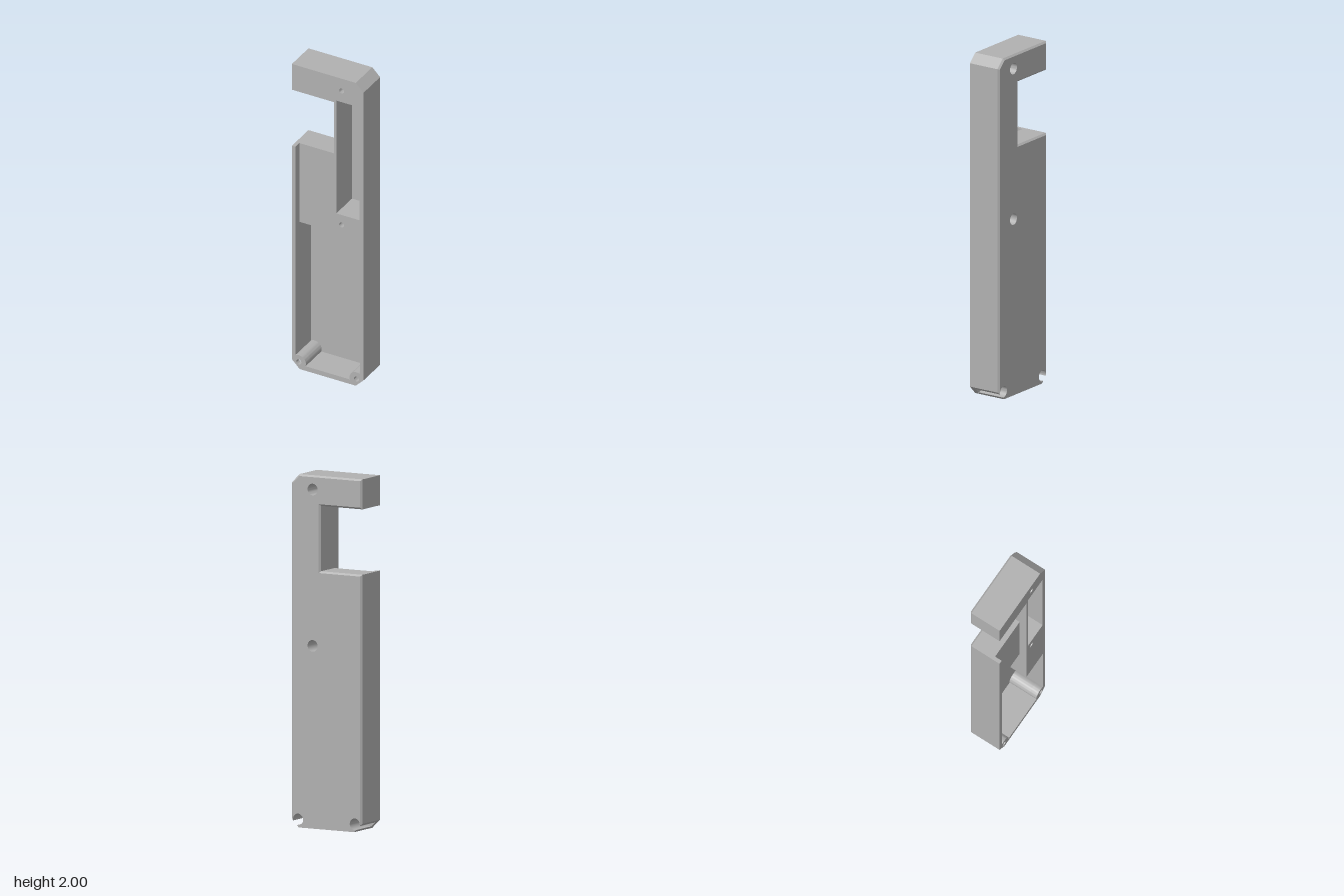
import * as THREE from 'three';
import { mergeGeometries, toCreasedNormals } from 'three/addons/utils/BufferGeometryUtils.js';

// Depth levels along z
const BACK = -0.1, BEVEL = -0.09, FLOOR = -0.08, SHELF = 0.055, SEAT = 0.07, FRONT = 0.1;
const BORE = 0.033, HOLE = 0.016, BOSS = 0.045;
const CORNER_SCREWS = [[0.185, 0.045, -Math.PI / 4], [-0.185, 0.045, -Math.PI * 3 / 4]];
const UPPER_SCREWS = [[0.09, 1.92], [0.09, 1.035]];
const HALF = Math.acos(0.02828 / BORE); // half angle where a corner bore breaks the chamfer

// Points on an arc; direction follows a0 to a1
function arc(x, y, r, a0, a1, n = 20) {
  return Array.from({ length: n + 1 }, (_, i) => {
    const a = a0 + (a1 - a0) * i / n;
    return [x + r * Math.cos(a), y + r * Math.sin(a)];
  });
}
const circle = (x, y, r) => arc(x, y, r, 0, -Math.PI * 2, 28);
const boreArc = ([x, y, a]) => arc(x, y, BORE, a - HALF, a + HALF - Math.PI * 2, 24);

// Side wall along a closed path with the solid on its left; a path point may
// carry a second x, y used at the back end when inset is true
function wall(path, z0, z1, inset = false) {
  const pos = [];
  path.forEach((a, i) => {
    const b = path[(i + 1) % path.length];
    if (Math.hypot(a[0] - b[0], a[1] - b[1]) < 1e-6) return;
    const low = (p) => (inset && p.length > 2 ? [p[2], p[3], z0] : [p[0], p[1], z0]);
    const A = low(a), B = low(b), C = [b[0], b[1], z1], D = [a[0], a[1], z1];
    pos.push(...A, ...B, ...C, ...A, ...C, ...D);
  });
  const g = new THREE.BufferGeometry();
  g.setAttribute('position', new THREE.Float32BufferAttribute(pos, 3));
  return g;
}

// Flat face at depth z, facing the front or the back
function cap(path, holes, z, facingBack = false) {
  const v = (pts) => pts.map((p) => new THREE.Vector2(p[0], p[1]));
  const shape = new THREE.Shape(v(path));
  holes.forEach((h) => shape.holes.push(new THREE.Path(v(h))));
  let g = new THREE.ShapeGeometry(shape);
  if (facingBack) {
    const idx = g.index.array;
    for (let i = 0; i < idx.length; i += 3) [idx[i], idx[i + 1]] = [idx[i + 1], idx[i]];
  }
  g = g.toNonIndexed();
  g.deleteAttribute('uv');
  g.deleteAttribute('normal');
  g.translate(0, 0, z);
  return g;
}

// Lower pocket edge: right wall, around both screw bosses, up the left wall
function pocketEdge() {
  const up = Math.atan2(0.0387, 0.023), low = Math.atan2(0.015, 0.0424);
  return [
    [0.04, 0.625], [0.208, 0.625],
    ...arc(0.185, 0.045, BOSS, up, Math.PI + low, 14),
    ...arc(-0.185, 0.045, BOSS, -low, Math.PI - up, 14),
  ];
}

// Hook-shaped outline, counterclockwise from the bottom
function outline(cutBores, openPocket) {
  const corner = (s) => {
    const a = boreArc(s);
    return cutBores ? a : [a[0], a[a.length - 1]];
  };
  return [
    [-0.18, 0], [0.18, 0],
    ...corner(CORNER_SCREWS[0]),
    [0.23, 0.05, 0.22, 0.04], [0.23, 1.95, 0.22, 1.946],
    [0.18, 2, 0.176, 1.99], [-0.23, 2, -0.22, 1.99],
    [-0.23, 1.83, -0.22, 1.84], [0.04, 1.83, 0.05, 1.84],
    [0.04, 1.46, 0.05, 1.45],
    ...(openPocket ? pocketEdge() : []),
    [-0.208, 1.46, -0.208, 1.45], [-0.23, 1.46, -0.22, 1.45],
    [-0.23, 0.05, -0.22, 0.04],
    ...corner(CORNER_SCREWS[1]),
  ];
}

export function createModel() {
  const group = new THREE.Group();
  const grey = new THREE.MeshStandardMaterial({ color: 0xb0b0b0 });
  grey.name = 'plain grey';
  const add = (name, parts) => {
    const mesh = new THREE.Mesh(toCreasedNormals(mergeGeometries(parts), 0.5), grey);
    mesh.name = name;
    group.add(mesh);
  };

  const screws = [...CORNER_SCREWS, ...UPPER_SCREWS];
  const smallHoles = screws.map(([x, y]) => circle(x, y, HOLE));
  const bigBores = UPPER_SCREWS.map(([x, y]) => circle(x, y, BORE));
  const slot = [[0.055, 1.1], [0.055, 1.845], [0.205, 1.845], [0.205, 1.1]];
  const pocket = [[0.04, 0.94], ...pocketEdge(), [-0.208, 0.94]];

  // Outer sides, with a bevel around the back edge
  const closed = outline(true, false);
  add('housingWalls', [
    wall(closed, BACK, BEVEL, true),
    wall(closed, BEVEL, SHELF),
    wall(outline(true, true), SHELF, SEAT),
    wall(outline(false, true), SEAT, FRONT),
  ]);

  // Front rim and block, and the back plate
  add('frontRim', [cap(outline(false, true), [slot, ...smallHoles], FRONT)]);
  const backPath = closed.map((p) => (p.length > 2 ? [p[2], p[3]] : p));
  add('backPlate', [cap(backPath, bigBores, BACK, true)]);

  // Deep pocket with the shallow shelf above it
  add('mainPocket', [wall(pocket, FLOOR, SHELF), cap(pocket, [], FLOOR)]);
  add('pocketShelf', [cap([[-0.208, 0.94], [0.04, 0.94], [0.04, 1.46], [-0.208, 1.46]], [], SHELF)]);

  // Tall slot in the neck
  add('neckSlot', [wall(slot, FLOOR, FRONT), cap(slot, [], FLOOR)]);

  // Screw holes with wide bores from the back
  add('screwBores', [
    ...bigBores.map((b) => wall(b, BACK, SEAT)),
    ...smallHoles.map((h) => wall(h, SEAT, FRONT)),
    ...screws.map((s, i) => cap(i < 2 ? boreArc(s) : bigBores[i - 2], [smallHoles[i]], SEAT, true)),
  ]);
  return group;
}
